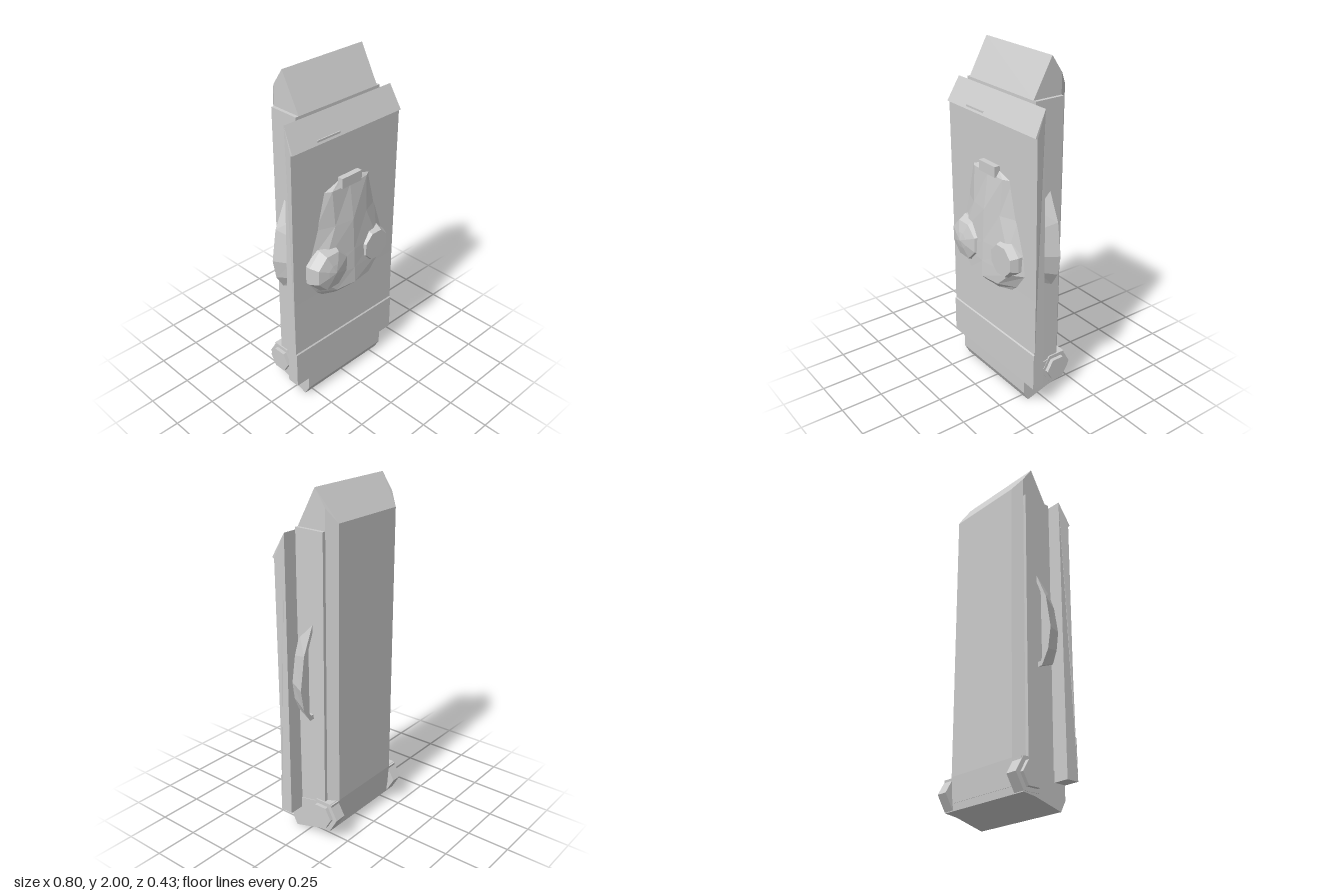
import * as THREE from 'three';
import { ConvexGeometry } from 'three/addons/geometries/ConvexGeometry.js';

const grey = new THREE.MeshStandardMaterial({ color: 0xcccccc, flatShading: true });

function add(parent, name, geometry, x = 0, y = 0, z = 0) {
  const mesh = new THREE.Mesh(geometry, grey);
  mesh.name = name;
  mesh.position.set(x, y, z);
  parent.add(mesh);
  return mesh;
}

// Side profile of [z, y] points, swept across the width
function sweep(profile, width) {
  const shape = new THREE.Shape(profile.map(([z, y]) => new THREE.Vector2(z, y)));
  const g = new THREE.ExtrudeGeometry(shape, { depth: width, bevelEnabled: false });
  return g.translate(0, 0, -width / 2).rotateY(-Math.PI / 2);
}

// Skin over rows of [x, y, z] points
function loft(rows, closed) {
  const pos = [];
  const tri = (a, b, c) => {
    const t = new THREE.Triangle(...[a, b, c].map(p => new THREE.Vector3(...p)));
    if (t.getArea() > 1e-8) pos.push(...a, ...b, ...c);
  };
  const n = rows[0].length;
  for (let r = 0; r < rows.length - 1; r++) {
    for (let i = 0; i < (closed ? n : n - 1); i++) {
      const j = (i + 1) % n, a = rows[r], b = rows[r + 1];
      tri(a[i], b[i], a[j]);
      tri(a[j], b[i], b[j]);
    }
  }
  const g = new THREE.BufferGeometry();
  g.setAttribute('position', new THREE.Float32BufferAttribute(pos, 3));
  g.computeVertexNormals();
  return g;
}

// Faceted eye turned around the z axis, from [radius, z] points
function eye(profile) {
  const pts = profile.map(([r, z]) => new THREE.Vector2(r, z));
  return new THREE.LatheGeometry(pts, 8, Math.PI / 8).rotateX(Math.PI / 2);
}

export function createModel() {
  const model = new THREE.Group();
  model.name = 'pocketCase';

  // Core with a ridged top and chamfered back edges
  const core = [];
  for (const s of [-1, 1]) {
    for (const [z, y] of [[-0.06, 2], [0.055, 1.79], [0.11, 0.14], [-0.125, 0.1], [-0.125, 1.905]])
      core.push(new THREE.Vector3(s * 0.28, y, z));
    for (const [z, y] of [[-0.18, 1.83], [-0.18, 0.24], [-0.17, 0.1]])
      core.push(new THREE.Vector3(s * 0.24, y, z));
  }
  add(model, 'core', new ConvexGeometry(core));

  // Base block with a slanted underside
  add(model, 'base', sweep([[0.085, 0], [0.117, 0.06], [0.117, 0.15], [0.05, 0.2],
    [-0.125, 0.235], [-0.178, 0.235], [-0.165, 0.06], [-0.09, 0.05]], 0.61));

  // Front plate with a thin ledge and an overhanging lip
  const plate = sweep([[0.045, 0.14], [0.12, 0.14], [0.119, 0.365], [0.113, 0.372],
    [0.111, 0.712], [0.117, 1.635], [0.13, 1.64], [0.058, 1.775]], 0.79);
  const p = plate.attributes.position;
  for (let i = 0; i < p.count; i++)
    if (p.getY(i) > 1.7) p.setX(i, p.getX(i) * 0.965);
  plate.computeVertexNormals();
  add(model, 'frontPlate', plate);
  add(model, 'lipTab', new THREE.BoxGeometry(0.16, 0.02, 0.02), -0.14, 1.652, 0.114);

  // Mask: half width at the plate, half width and depth at the front, ridge depth
  const rows = [
    [1.375, 0.07, 0.06, 0.116, 0.116],
    [1.34, 0.18, 0.13, 0.137, 0.14],
    [1.13, 0.23, 0.12, 0.15, 0.168],
    [0.94, 0.29, 0.20, 0.157, 0.178],
    [0.82, 0.30, 0.23, 0.163, 0.184],
    [0.725, 0.23, 0.13, 0.172, 0.188],
    [0.69, 0.19, 0.11, 0.145, 0.155],
    [0.652, 0.08, 0.05, 0.11, 0.11],
  ].map(([y, w, f, zf, zc]) =>
    [[-w, y, 0.108], [-f, y, zf], [0, y, zc], [f, y, zf], [w, y, 0.108]]);
  add(model, 'mask', loft(rows, false));
  add(model, 'maskTab', new THREE.BoxGeometry(0.145, 0.06, 0.045), 0.005, 1.367, 0.127);

  // One domed eye, one flat eye
  add(model, 'domedEye', eye([[0.14, 0.1], [0.14, 0.14], [0.115, 0.188], [0.05, 0.207], [0, 0.217]]), -0.175, 0.885);
  add(model, 'flatEye', eye([[0.115, 0.1], [0.112, 0.14], [0.092, 0.185], [0, 0.185]]), 0.175, 0.893);

  // Fin outlines at the front and rear, with a hollow back
  const front = [[0.29, 0.78], [0.31, 0.78], [0.34, 0.85], [0.355, 0.95], [0.33, 1.1], [0.29, 1.21]];
  const rear = [[0.29, 0.74], [0.33, 0.74], [0.378, 0.82], [0.4, 0.94], [0.37, 1.13], [0.29, 1.31]];
  const inner = rear.map(([x, y]) => [0.29 + (x - 0.29) * 0.8, 0.97 + (y - 0.97) * 0.88]);
  const ring = (pts, z) => pts.map(([x, y]) => [x, y, z]);
  const hub = z => front.map(() => [0.3, 0.96, z]);
  const fin = loft([hub(0.05), ring(front, 0.05), ring(rear, -0.05),
    ring(inner, -0.05), ring(inner, -0.02), hub(-0.02)], true);

  // Mirrored side parts
  for (const s of [1, -1]) {
    const side = new THREE.Group();
    side.name = s > 0 ? 'leftSide' : 'rightSide';
    side.scale.x = s;
    add(side, 'sidePanel', new THREE.BoxGeometry(0.02, 1.69, 0.18), 0.29, 0.945, -0.035);
    add(side, 'fin', fin);
    const hex = (r, w) => new THREE.CylinderGeometry(r, r, w, 6).rotateZ(Math.PI / 2);
    add(side, 'boltFlange', hex(0.1, 0.068), 0.274, 0.152, -0.117);
    add(side, 'boltHead', hex(0.075, 0.05), 0.305, 0.152, -0.114);
    model.add(side);
  }
  return model;
}
